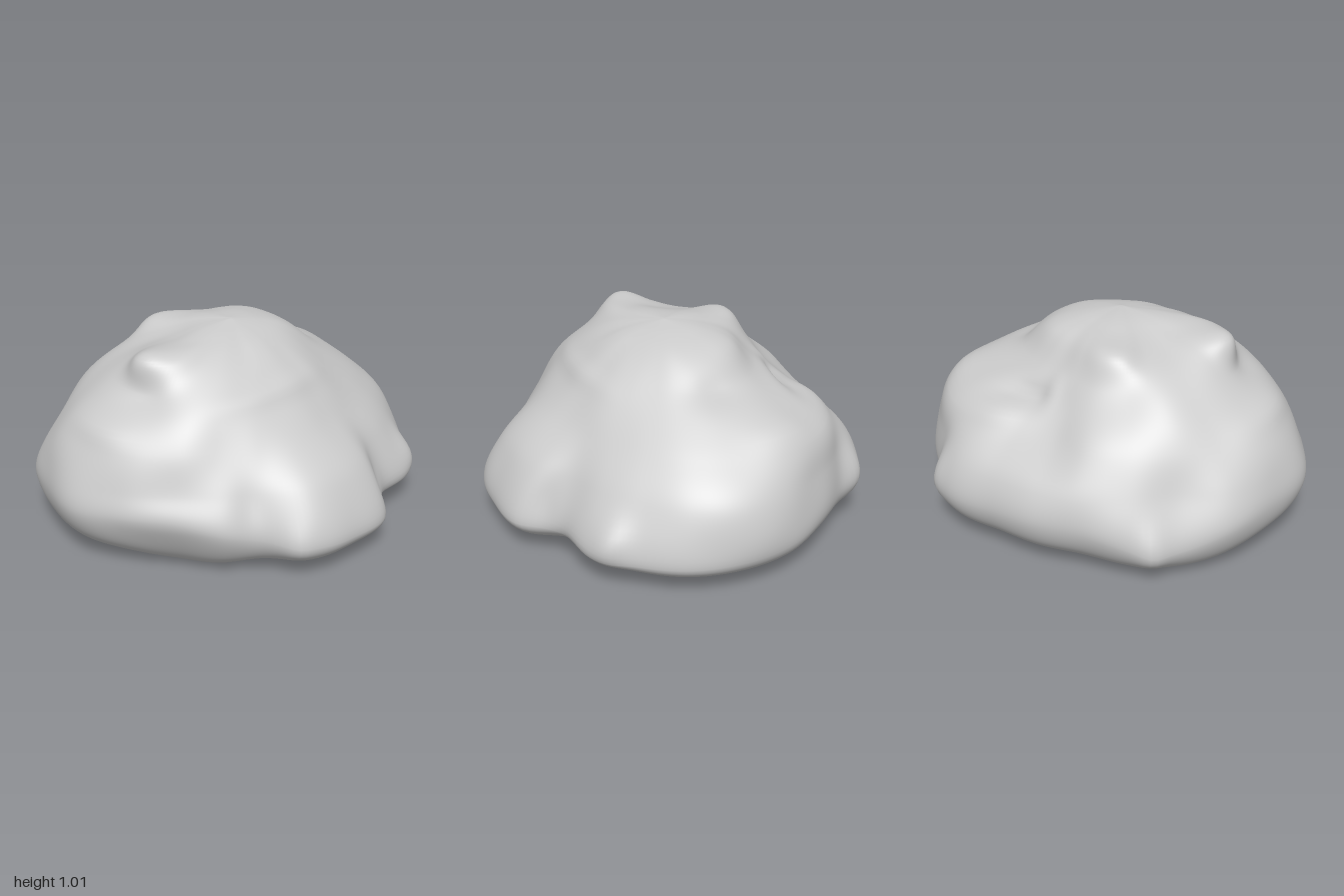
import * as THREE from 'three';

// Contour radii every 15 degrees, starting at +x and turning towards +z.
const CONTOURS = [
  // widest outline
  [1, .985, .94, .915, .81, .905, .915, .925, .83, .85, .865, .935, .995, 1, 1, .965, .95, .91, .92, .93, .99, .95, .955, .995],
  // y = 0.42
  [.96, .91, .83, .77, .72, .78, .81, .82, .77, .78, .82, .9, .97, .97, .95, .88, .88, .88, .87, .88, .94, .92, .93, .96],
  // y = 0.60
  [.80, .74, .67, .61, .58, .58, .60, .62, .64, .67, .75, .82, .87, .87, .82, .79, .78, .75, .67, .69, .79, .85, .87, .85],
  // y = 0.80
  [.51, .47, .43, .41, .40, .39, .40, .42, .46, .51, .56, .61, .64, .64, .62, .62, .57, .53, .48, .45, .46, .48, .50, .52],
  // y = 0.93
  [.31, .29, .26, .24, .23, .23, .24, .25, .26, .30, .36, .50, .575, .47, .39, .38, .43, .42, .36, .32, .33, .35, .35, .33],
];

// Dents and bulges: centre, size along each axis, push along the outward direction.
const SCULPT = [
  { at: [0.26, 0.72, -0.54], size: [0.17, 0.09, 0.06], push: -0.045 },  // back hollow
  { at: [0.10, 0.76, -0.55], size: [0.05, 0.08, 0.08], push: 0.02 },    // rim of the hollow
  { at: [0.34, 0.65, -0.66], size: [0.18, 0.08, 0.07], push: 0.015 },   // lip of the hollow
  { at: [0.61, 0.28, -0.78], size: [0.09, 0.16, 0.08], push: 0.04 },    // back corner
  { at: [-0.57, 0.17, -0.78], size: [0.08, 0.14, 0.07], push: 0.035 },  // other back corner
  { at: [0.30, 0.24, 0.74], size: [0.06, 0.14, 0.12], push: -0.03 },    // notch beside the nose
  { at: [0.71, 0.26, 0.58], size: [0.09, 0.12, 0.09], push: 0.04 },     // front lobe
  { at: [0.50, 0.08, 0.58], size: [0.22, 0.07, 0.18], push: -0.05 },    // undercut of the lobe
  { at: [-0.34, 0.16, 0.84], size: [0.08, 0.12, 0.08], push: 0.03 },    // nose corner
  { at: [-0.45, 0.35, 0.66], size: [0.08, 0.16, 0.10], push: -0.02 },   // hollow beside the nose
  { at: [-0.62, 0.78, 0.08], size: [0.08, 0.08, 0.14], push: -0.015 },  // side groove
  { at: [-0.80, 0.65, -0.04], size: [0.08, 0.06, 0.18], push: 0.02 },   // side ledge
  { at: [0.72, 0.66, -0.30], size: [0.10, 0.07, 0.16], push: 0.02 },    // opposite ledge
  { at: [0.49, 0.80, -0.08], size: [0.11, 0.08, 0.14], push: -0.03 },   // valley above that ledge
  { at: [-0.55, 0.95, 0.03], size: [0.08, 0.08, 0.10], push: 0.02 },    // crown shoulder
  { at: [-0.19, 0.93, -0.40], size: [0.12, 0.08, 0.07], push: 0.015 },  // crown back corner
  { at: [-0.33, 0.96, -0.08], size: [0.14, 0.10, 0.20], push: -0.02 },  // crown saddle
  { at: [-0.08, 0.77, 0.42], size: [0.28, 0.04, 0.08], push: 0.015 },   // brow over the front slope
];

const bell = (...d) => Math.exp(-d.reduce((sum, v) => sum + v * v, 0));

// Smooth periodic lookup in one contour
function radiusAt(row, turn) {
  const n = row.length, f = turn * n, i = Math.floor(f), t = f - i;
  const [a, b, c, d] = [-1, 0, 1, 2].map((k) => row[(i + k + n) % n]);
  return b + 0.5 * t * (c - a + t * (2 * a - 5 * b + 4 * c - d + t * (3 * (b - c) + d - a)));
}

// Upright section of the rock at one angle, from the underside to the crown
function sectionAt(turn) {
  const front = Math.sin(turn * Math.PI * 2), side = Math.cos(turn * Math.PI * 2);
  const undercut = bell((turn - 0.42) / 0.06);
  const lowCorner = bell((turn - 0.64) / 0.05);
  const [wide, r42, r60, r80, r93] = CONTOURS.map((row) => radiusAt(row, turn));
  const widest = 0.22 - 0.05 * front - 0.05 * side + 0.06 * undercut - 0.11 * lowCorner;
  const points = [
    [0, .06], [wide * .45, .06], [wide * (.84 - .08 * undercut), .06],
    [wide * (.95 - .04 * undercut), .06 + (widest - .06) * .35],
    [wide, widest], [r42, .42], [r60, .6], [r80, .8], [r93, .93],
    [r93 * .55, .975], [0, 1],
  ];
  return new THREE.CatmullRomCurve3(points.map(([r, y]) => new THREE.Vector3(r, y, 0)));
}

function sculpt(p) {
  const out = new THREE.Vector3(p.x, p.y - 0.3, p.z).normalize();
  let push = 0;
  for (const s of SCULPT) {
    push += s.push * bell((p.x - s.at[0]) / s.size[0], (p.y - s.at[1]) / s.size[1], (p.z - s.at[2]) / s.size[2]);
  }
  // gentle weathering above the underside
  const fade = THREE.MathUtils.smoothstep(p.y, 0.08, 0.3);
  push += fade * 0.005 * (Math.sin(9 * p.x + 5 * p.y) * Math.sin(8 * p.z - 6 * p.y) + Math.sin(13 * p.z + 7 * p.x + 9 * p.y) * 0.6);
  // two shallow swellings underneath
  const low = 1 - THREE.MathUtils.smoothstep(p.y, 0.06, 0.25);
  const sag = bell((p.x + .52) / .32, (p.z - .36) / .26) + bell((p.x + .5) / .32, (p.z + .5) / .24);
  p.addScaledVector(out, push);
  p.y -= 0.058 * low * sag;
  return p;
}

function rockGeometry(around = 192, rise = 100) {
  const positions = [], index = [];
  for (let i = 0; i < around; i++) {
    const turn = i / around, angle = turn * Math.PI * 2;
    const section = sectionAt(turn);
    for (let j = 1; j < rise; j++) {
      const s = section.getPoint(j / rise);
      const p = sculpt(new THREE.Vector3(s.x * Math.cos(angle), s.y, s.x * Math.sin(angle)));
      positions.push(p.x, p.y, p.z);
    }
  }
  const ring = rise - 1, bottom = around * ring, top = bottom + 1;
  for (const y of [0.06, 1]) positions.push(...sculpt(new THREE.Vector3(0, y, 0)).toArray());
  for (let i = 0; i < around; i++) {
    const a = i * ring, b = ((i + 1) % around) * ring;
    index.push(bottom, a, b);
    for (let j = 0; j < ring - 1; j++) {
      index.push(a + j, a + j + 1, b + j, b + j, a + j + 1, b + j + 1);
    }
    index.push(a + ring - 1, top, b + ring - 1);
  }
  const geometry = new THREE.BufferGeometry();
  geometry.setAttribute('position', new THREE.Float32BufferAttribute(positions, 3));
  geometry.setIndex(index);
  geometry.computeVertexNormals();
  return geometry;
}

export function createModel() {
  const model = new THREE.Group();
  model.name = 'boulder';
  const rock = new THREE.Mesh(rockGeometry(), new THREE.MeshStandardMaterial({ color: 0xcccccc }));
  rock.name = 'rock';
  model.add(rock);
  return model;
}
